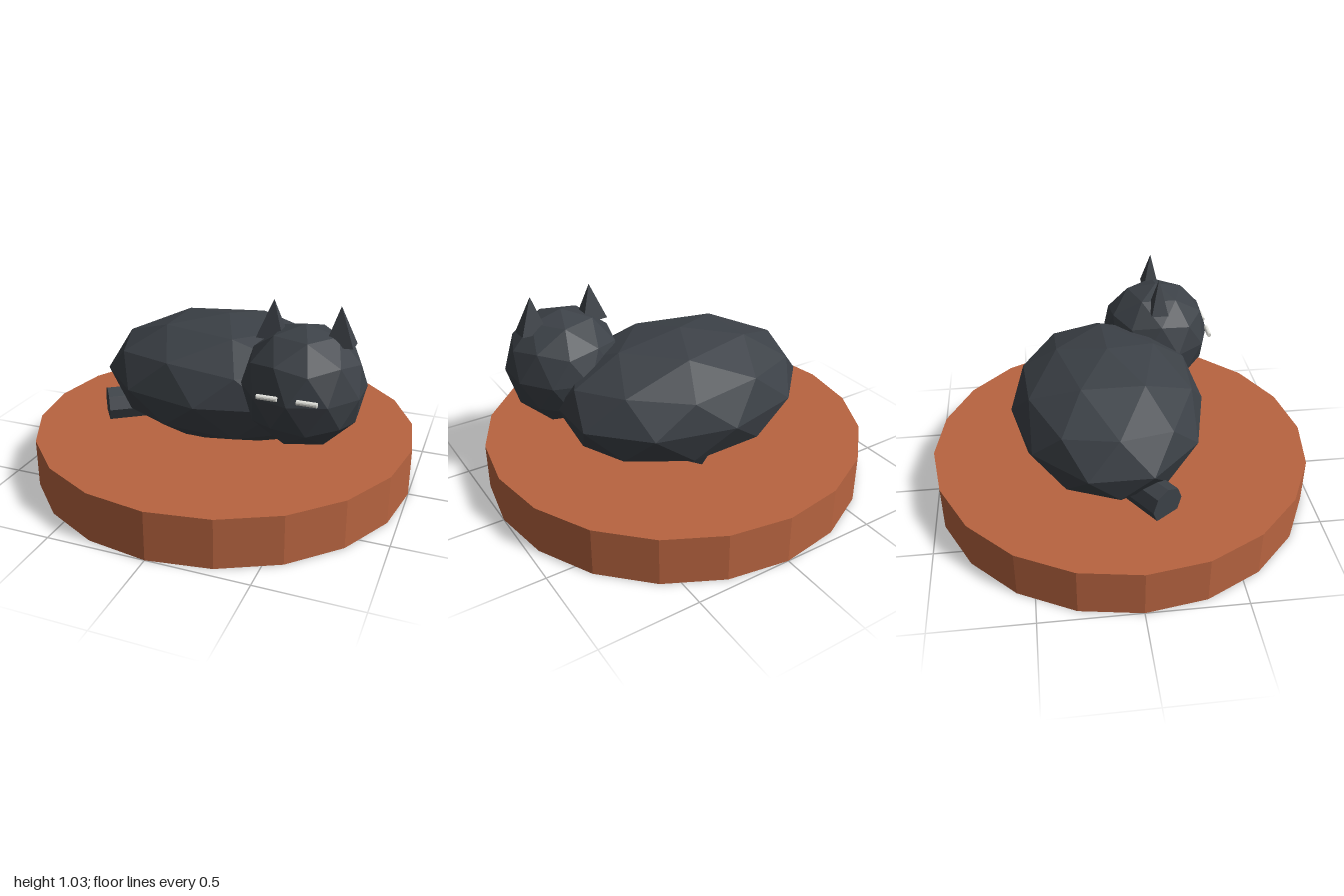
import * as THREE from 'three';

const material = (name, color) => {
  const m = new THREE.MeshStandardMaterial({ color });
  m.name = name;
  return m;
};

// Faceted surface: every triangle gets its own normal
const faceted = (geometry) => {
  const g = geometry.index ? geometry.toNonIndexed() : geometry;
  g.computeVertexNormals();
  return g;
};

// Low-poly ball with one vertex at each pole, stretched to the given radii
const ball = (rx, ry, rz) => {
  const g = new THREE.IcosahedronGeometry(1, 1);
  g.rotateZ(-Math.atan(2 / (1 + Math.sqrt(5))));
  g.scale(rx, ry, rz);
  return faceted(g);
};

export function createModel() {
  const model = new THREE.Group();
  model.name = 'sleepingCat';

  const fur = material('charcoal fur', 0x3c4147);
  const clay = material('terracotta cushion', 0xb86440);
  const pale = material('pale eyelid', 0xe6e6e0);

  const add = (name, geometry, mat, x, y, z) => {
    const mesh = new THREE.Mesh(geometry, mat);
    mesh.name = name;
    mesh.position.set(x, y, z);
    model.add(mesh);
    return mesh;
  };

  // Round cushion
  add('cushion', faceted(new THREE.CylinderGeometry(1, 1, 0.25, 20)), clay, 0, 0.125, 0);

  // Curled body and head
  add('body', ball(0.673, 0.335, 0.505), fur, 0, 0.5, -0.065);
  add('head', ball(0.3, 0.3, 0.3), fur, 0.5, 0.635, 0.257);

  // Tail: eight-sided bar tucked under the body
  const tailGeometry = new THREE.CylinderGeometry(0.094, 0.094, 0.93, 8);
  tailGeometry.rotateZ(Math.PI / 2);
  const tail = add('tail', faceted(tailGeometry), fur, -0.24, 0.312, -0.107);
  tail.rotation.y = 0.61;

  for (const side of [-1, 1]) {
    const label = side > 0 ? 'left' : 'right';

    // Four-sided ears
    const earGeometry = new THREE.ConeGeometry(Math.SQRT1_2, 1, 4);
    earGeometry.rotateY(Math.PI / 4);
    earGeometry.scale(0.135, 0.185, 0.09);
    const ear = add(label + 'Ear', faceted(earGeometry), fur, 0.5 + side * 0.162, 0.942, 0.25);
    ear.rotation.z = side * 0.03;

    // Closed eyes: slim horizontal rods
    const eyeGeometry = new THREE.CylinderGeometry(0.012, 0.012, 0.095, 12);
    eyeGeometry.rotateZ(Math.PI / 2);
    add(label + 'Eye', faceted(eyeGeometry), pale, 0.5 + side * 0.093, 0.666, 0.547);
  }

  return model;
}
